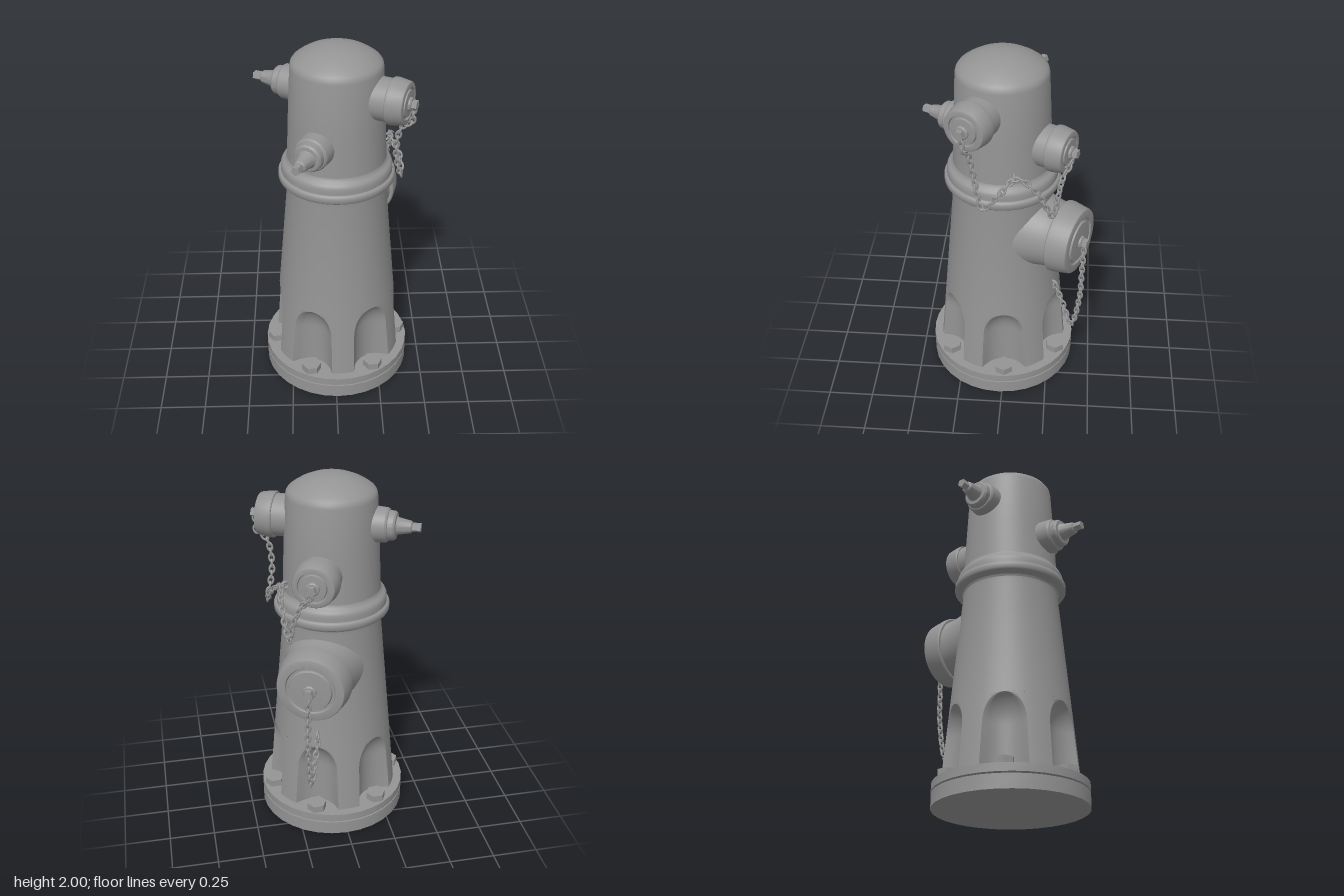
import * as THREE from 'three';
import { toCreasedNormals } from 'three/addons/utils/BufferGeometryUtils.js';

const material = new THREE.MeshStandardMaterial({ color: 0x949494 });
const rad = THREE.MathUtils.degToRad;
const POCKETS = 6, POCKET_TURN = rad(34.5), ARCH_TOP = 0.53;

function add(parent, name, geometry) {
  const mesh = new THREE.Mesh(geometry, material);
  mesh.name = name;
  parent.add(mesh);
  return mesh;
}

// Turned part from [radius, height] pairs, listed bottom to top
function turned(points, sides = 64, crease = 0.5) {
  const profile = points.map(([r, y]) => new THREE.Vector2(r, y));
  return toCreasedNormals(new THREE.LatheGeometry(profile, sides), crease);
}

const barrelRadius = (y) => 0.366 - 0.091 * (y - 0.13);

// Lower barrel with six arched pockets: columns follow each pocket's edge
function pocketedBarrel() {
  const centre = 0.405, width = 0.135, rows = 28, perPocket = 32;
  const cols = POCKETS * perPocket, positions = [], index = [];
  for (let i = 0; i <= rows; i++) {
    const y = 0.12 + (ARCH_TOP - 0.12) * Math.sin((i / rows) * Math.PI / 2);
    const t = Math.max(0, (y - 0.38) / 0.179);
    const rho = width * Math.sqrt(1 - t * t);
    const b = barrelRadius(y);
    const cosEdge = (centre * centre + b * b - rho * rho) / (2 * centre * b);
    const edge = Math.max(0.004, Math.acos(Math.min(1, cosEdge)));
    for (let j = 0; j < cols; j++) {
      const u = ((j % perPocket) / perPocket) * 2 - 1;
      const a = Math.abs(u);
      const off = a < 0.6 ? edge * a / 0.6 : edge + (Math.PI / POCKETS - edge) * (a - 0.6) / 0.4;
      let r = b;
      if (a < 0.6) {
        const s = centre * Math.sin(off);
        r = Math.min(b, centre * Math.cos(off) - Math.sqrt(Math.max(0, rho * rho - s * s)));
      }
      const angle = POCKET_TURN + Math.floor(j / perPocket) * Math.PI * 2 / POCKETS + Math.sign(u) * off;
      positions.push(r * Math.sin(angle), y, r * Math.cos(angle));
    }
  }
  for (let i = 0; i < rows; i++) {
    for (let j = 0; j < cols; j++) {
      const k = (j + 1) % cols;
      const p = i * cols + j, q = i * cols + k;
      index.push(p, q, p + cols, q, q + cols, p + cols);
    }
  }
  const geometry = new THREE.BufferGeometry();
  geometry.setAttribute('position', new THREE.Float32BufferAttribute(positions, 3));
  geometry.setIndex(index);
  return toCreasedNormals(geometry, 0.55);
}

// Group whose +z points outward from the barrel at the given angle and height
function outlet(parent, name, degrees, y) {
  const group = new THREE.Group();
  group.name = name;
  group.rotation.y = rad(degrees);
  group.position.y = y;
  parent.add(group);
  return group;
}

function outward(points, sides) {
  return turned(points, sides).rotateX(Math.PI / 2);
}

function nut(parent, radius, from, to) {
  const geometry = new THREE.CylinderGeometry(radius, radius, to - from, 5);
  const mesh = add(parent, 'nut', toCreasedNormals(geometry, 0.3));
  mesh.rotation.x = Math.PI / 2;
  mesh.position.z = (from + to) / 2;
}

// Capped outlet; R is the cap's rear radius, z0 its rear and z1 its face
function cappedOutlet(parent, name, degrees, y, R, z0, z1, flare) {
  const g = outlet(parent, name, degrees, y);
  const N = R * 0.91;
  add(g, 'neck', outward([
    [N + flare, z0 - 0.19], [N + flare * 0.6, z0 - 0.14], [N + flare * 0.3, z0 - 0.09],
    [N + flare * 0.1, z0 - 0.05], [N, z0 - 0.02], [N, z0 + 0.01],
  ]));
  const F = R * 0.92;
  add(g, 'cap', outward([
    [R * 0.85, z0 - 0.006], [R * 0.97, z0 - 0.006], [R, z0], [R, z0 + 0.02], [F, z1 - 0.01],
    [F - 0.004, z1 - 0.003], [F - 0.012, z1], [F * 0.74, z1], [F * 0.71, z1 - 0.01],
    [F * 0.64, z1 - 0.01], [F * 0.61, z1 + 0.002], [F * 0.3, z1 + 0.005], [0.0001, z1 + 0.005],
  ]));
  add(g, 'boss', outward([[0.036, z1], [0.036, z1 + 0.014], [0.03, z1 + 0.019], [0.0001, z1 + 0.019]], 32));
  nut(g, 0.026, z1 + 0.01, z1 + 0.046);
}

// Small stepped spout with a tapered stem, pushed outward by shift
function spout(parent, name, degrees, y, shift) {
  const g = outlet(parent, name, degrees, y);
  const stem = [
    [0.098, 0.18], [0.094, 0.245], [0.091, 0.295], [0.084, 0.305], [0.078, 0.307], [0.076, 0.335],
    [0.068, 0.345], [0.05, 0.347], [0.045, 0.356], [0.034, 0.412], [0.032, 0.422], [0.024, 0.428],
    [0.0001, 0.428],
  ];
  add(g, 'stem', outward(stem.map(([r, z]) => [r, z + shift]), 48));
  nut(g, 0.025, 0.42 + shift, 0.472 + shift);
}

// Chain of alternating oval links along a curve
function chain(parent, name, points) {
  const group = new THREE.Group();
  group.name = name;
  parent.add(group);
  const curve = new THREE.CatmullRomCurve3(points.map((p) => new THREE.Vector3(...p)));
  const count = Math.round(curve.getLength() / 0.031);
  const link = new THREE.TorusGeometry(0.0135, 0.0058, 6, 14).scale(1.5, 1, 1);
  const xAxis = new THREE.Vector3(1, 0, 0);
  for (let i = 0; i <= count; i++) {
    const mesh = add(group, 'link', link);
    mesh.position.copy(curve.getPointAt(i / count));
    mesh.quaternion.setFromUnitVectors(xAxis, curve.getTangentAt(i / count));
    mesh.rotateX((i % 2) * Math.PI / 2 + 0.4);
  }
}

export function createModel() {
  const root = new THREE.Group();
  root.name = 'hydrant';
  const body = new THREE.Group();
  body.name = 'body';
  body.position.set(0.01, 0, 0.02);
  root.add(body);

  // Two flange plates with a narrow gap
  for (const [name, low, high] of [['lowerFlange', 0, 0.077], ['upperFlange', 0.086, 0.13]]) {
    add(body, name, toCreasedNormals(new THREE.CylinderGeometry(0.415, 0.415, high - low, 32), 0.5))
      .position.y = (low + high) / 2;
  }

  // Flange bolts, one in front of each pocket
  for (let i = 0; i < POCKETS; i++) {
    const angle = POCKET_TURN + (i * Math.PI * 2) / POCKETS;
    const bolt = add(body, 'flangeBolt', toCreasedNormals(new THREE.CylinderGeometry(0.055, 0.055, 0.048, 6), 0.3));
    bolt.position.set(0.352 * Math.sin(angle), 0.146, 0.352 * Math.cos(angle));
    bolt.rotation.y = angle;
  }

  // Barrel, collar and domed bonnet
  add(body, 'pocketedBarrel', pocketedBarrel());
  add(body, 'barrel', turned([
    [barrelRadius(ARCH_TOP), ARCH_TOP], [barrelRadius(1.2), 1.2], [0.27, 1.225],
  ], 96));
  add(body, 'collar', turned([
    [0.266, 1.215], [0.275, 1.235], [0.292, 1.243], [0.308, 1.248], [0.314, 1.256], [0.314, 1.282],
    [0.309, 1.291], [0.299, 1.295], [0.298, 1.31], [0.298, 1.33], [0.291, 1.345], [0.28, 1.354],
    [0.27, 1.362], [0.265, 1.378],
  ], 96, 0.7));
  add(body, 'bonnet', turned([
    [0.265, 1.375], [0.255, 1.6], [0.24, 1.89], [0.236, 1.908], [0.226, 1.922], [0.205, 1.938],
    [0.17, 1.96], [0.12, 1.982], [0.06, 1.996], [0.0001, 2],
  ], 96));
  add(body, 'ventRing', new THREE.TorusGeometry(0.006, 0.0015, 6, 16).rotateX(Math.PI / 2)).position.y = 1.9985;

  // Outlets and spouts around the barrel
  cappedOutlet(body, 'largeOutlet', 155, 0.98, 0.2, 0.36, 0.475, 0.045);
  cappedOutlet(body, 'upperHoseOutlet', 65, 1.75, 0.123, 0.305, 0.392, 0.004);
  cappedOutlet(body, 'lowerHoseOutlet', 155, 1.53, 0.123, 0.305, 0.392, 0.004);
  spout(body, 'upperSpout', -115, 1.745, 0);
  spout(body, 'lowerSpout', -26, 1.53, 0.018);

  // Chains that hold the caps
  chain(root, 'hoseCapChain', [
    [0.39, 1.72, 0.195], [0.385, 1.65, 0.185], [0.335, 1.605, 0.17], [0.315, 1.45, 0.145],
    [0.35, 1.285, 0.1], [0.345, 1.36, 0.02], [0.3, 1.435, -0.07], [0.315, 1.38, -0.17],
    [0.29, 1.21, -0.26], [0.27, 1.32, -0.285], [0.235, 1.41, -0.305], [0.195, 1.48, -0.345],
  ]);
  chain(root, 'largeCapChain', [
    [0.22, 0.955, -0.435], [0.228, 0.78, -0.43], [0.225, 0.58, -0.425], [0.205, 0.37, -0.385],
    [0.17, 0.5, -0.33], [0.15, 0.6, -0.29],
  ]);

  // Eyes that anchor the chains to the barrel
  for (const [degrees, y, r, size] of [[155, 0.61, 0.325, 0.026], [106, 1.43, 0.275, 0.018]]) {
    const anchor = outlet(body, 'chainAnchor', degrees, y);
    const eye = add(anchor, 'eye', new THREE.TorusGeometry(size, 0.007, 8, 20));
    eye.position.z = r;
    eye.rotation.y = Math.PI / 2;
  }
  return root;
}
